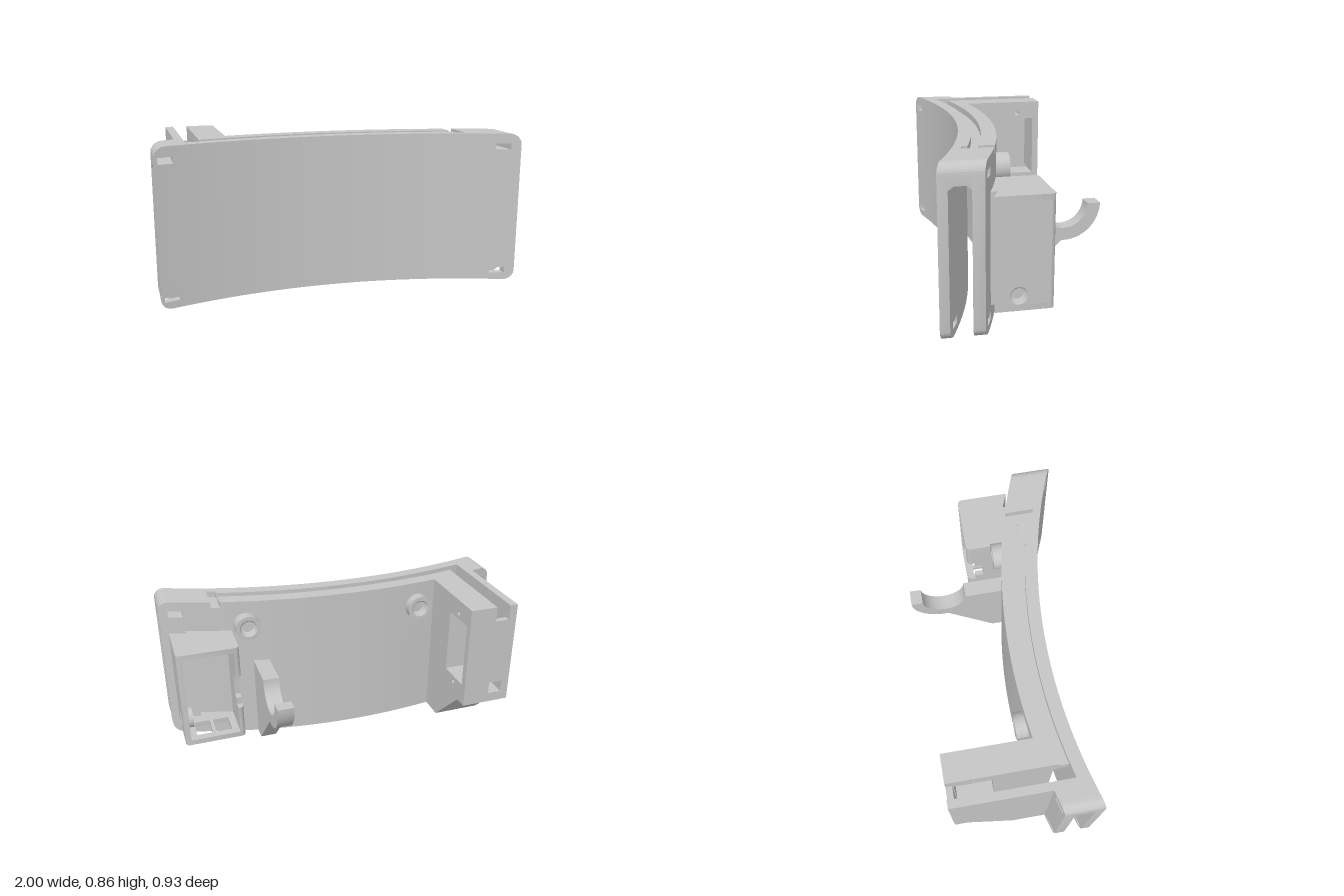
import * as THREE from 'three';
import { toCreasedNormals } from 'three/addons/utils/BufferGeometryUtils.js';

const H = 0.855;
const grey = new THREE.MeshStandardMaterial({ color: 0xc5c5c5 });
grey.name = 'grey plastic';

// z of the bowed plate, o = distance behind its front face
const arcZ = (x, o) => 3.093 - Math.sqrt((2.865 + o) ** 2 - (x + 0.14) ** 2);
// how far the rounded corners pull in at x
const corner = x => {
  const d = Math.max(0, Math.abs(x) - 0.94);
  return 0.06 - Math.sqrt(Math.max(0, 0.06 ** 2 - d ** 2));
};
// shared x stations, finer at the rounded ends
const stations = Array.from({ length: 38 }, (_, i) => -0.925 + i * 0.05);
for (const x of [0.94, 0.955, 0.965, 0.975, 0.985, 0.992, 0.997]) stations.push(x, -x);
stations.sort((a, b) => a - b);

// bowed slab between x0..x1 and depths o0..o1; the lower edge may slope from lo0 to lo1
function slab(x0, x1, o0, o1, lo0 = 0, hi = H, lo1 = lo0) {
  const xs = [x0, ...stations.filter(x => x > x0 + 0.001 && x < x1 - 0.001), x1], pos = [];
  const rings = xs.map(x => {
    const c = corner(x), top = Math.min(hi, H - c);
    return [[o0, Math.max(lo0, c)], [o1, Math.max(lo1, c)], [o1, top], [o0, top]]
      .map(([o, y]) => [x, y, arcZ(x, o)]);
  });
  const quad = (a, b, c, d) => [a, b, c, a, c, d].forEach(p => pos.push(...p));
  for (let i = 0; i < xs.length - 1; i++)
    for (let k = 0; k < 4; k++) {
      const m = (k + 1) % 4;
      quad(rings[i][k], rings[i][m], rings[i + 1][m], rings[i + 1][k]);
    }
  quad(...rings.at(-1));
  quad(...[...rings[0]].reverse());
  const g = new THREE.BufferGeometry();
  g.setAttribute('position', new THREE.Float32BufferAttribute(pos, 3));
  g.computeVertexNormals();
  return toCreasedNormals(g, 0.2);
}

// the two ends of a layer, with the strap holes left open
const HOLES = [[-0.98, -0.9], [0.87, 0.95]];
function ends(o0, o1, lo0 = 0, lo1 = lo0) {
  const parts = [slab(-1, -0.98, o0, o1, lo0, H, lo1), slab(0.95, 1, o0, o1, lo0, H, lo1)];
  for (const [a, b] of HOLES) {
    parts.push(slab(a, b, o0, o1, 0.8), slab(a, b, o0, o1, Math.max(lo0, 0.075), 0.765, Math.max(lo1, 0.075)));
    if (lo0 === 0) parts.push(slab(a, b, o0, o1, 0, 0.04));
  }
  return parts;
}

const rect = (a0, a1, b0, b1) => [[a0, b0], [a1, b0], [a1, b1], [a0, b1]];
const circle = (a, b, r) => Array.from({ length: 32 }, (_, i) =>
  [a + r * Math.cos(i * Math.PI / 16), b + r * Math.sin(i * Math.PI / 16)]);
const extrude = (pts, holes, depth) => {
  const shape = new THREE.Shape(pts.map(p => new THREE.Vector2(...p)));
  shape.holes = holes.map(h => new THREE.Path(h.map(p => new THREE.Vector2(...p))));
  return new THREE.ExtrudeGeometry(shape, { depth, bevelEnabled: false });
};
// outline in (z, y), extruded from x0 to x1
const sideCut = (x0, x1, pts, holes = []) => {
  const flip = l => l.map(([z, y]) => [-z, y]);
  return toCreasedNormals(extrude(flip(pts), holes.map(flip), x1 - x0)
    .rotateY(Math.PI / 2).translate(x0, 0, 0), 0.5);
};
// outline in (x, z), extruded from y0 to y1
const planCut = (y0, y1, pts, holes = []) =>
  toCreasedNormals(extrude(pts, holes, y1 - y0).rotateX(Math.PI / 2).translate(0, y1, 0), 0.9);

// threaded sleeve along +y with a closed floor
function sleeve(rOut, rIn, h, floor) {
  const p = [[rOut, 0], [rOut, h], [rIn, h]], n = 5;
  for (let i = 1; i <= n * 2; i++) p.push([rIn - (i % 2 ? 0.008 : 0), h - (h - floor) * i / (n * 2)]);
  p.push([0, floor]);
  return toCreasedNormals(new THREE.LatheGeometry(p.map(v => new THREE.Vector2(...v)), 32), 0.5);
}

export function createModel() {
  const model = new THREE.Group();
  const add = (name, ...geos) => {
    const group = new THREE.Group();
    group.name = name;
    for (const g of geos) {
      const m = new THREE.Mesh(g, grey);
      m.name = name;
      group.add(m);
    }
    model.add(group);
  };

  // bowed double plate, open below
  add('frontPlate', ...ends(0, 0.045), slab(-0.9, 0.87, 0, 0.045));
  add('backPlate', ...ends(0.145, 0.2), slab(-0.9, -0.83, 0.145, 0.2), slab(-0.75, 0.67, 0.145, 0.2),
    slab(0.67, 0.72, 0.145, 0.2, 0, 0.82), slab(0.72, 0.87, 0.145, 0.2));

  // roof between the plates, with a shallow groove along the top
  add('slotRoof',
    ...ends(0.045, 0.07, 0.73, 0.75), ...ends(0.07, 0.12, 0.75), ...ends(0.12, 0.145, 0.75, 0.73),
    slab(-0.9, 0.67, 0.045, 0.07, 0.73, H, 0.75),
    slab(0.67, 0.72, 0.045, 0.07, 0.73, 0.82, 0.75),
    slab(0.72, 0.87, 0.045, 0.07, 0.73, H, 0.75),
    slab(-0.9, -0.83, 0.07, 0.12, 0.75),
    slab(-0.75, 0.72, 0.07, 0.12, 0.75, 0.82),
    slab(0.72, 0.87, 0.07, 0.12, 0.75),
    slab(-0.9, -0.83, 0.12, 0.145, 0.75, H, 0.73),
    slab(-0.75, 0.67, 0.12, 0.145, 0.75, H, 0.73),
    slab(0.67, 0.72, 0.12, 0.145, 0.75, 0.82, 0.73),
    slab(0.72, 0.87, 0.12, 0.145, 0.75, H, 0.73));

  // tall housing with a hollow channel between two cheeks
  const cheek = z => [[z, 0], [-0.08, 0], [-0.34, 0.255], [-0.415, 0.255], [-0.415, H], [z, H]];
  add('housingInnerCheek', sideCut(-0.75, -0.595, cheek(0.1),
    [rect(-0.375, -0.17, 0.375, 0.745), circle(-0.27, 0.78, 0.013), circle(-0.27, 0.34, 0.013)]));
  add('housingOuterCheek', sideCut(-0.875, -0.83, cheek(0.135)));
  add('housingBack',
    sideCut(-0.83, -0.75, rect(-0.415, -0.38, 0.38, 0.77)),
    sideCut(-0.83, -0.75, [[-0.04, 0], [-0.08, 0], [-0.34, 0.255], [-0.415, 0.255],
      [-0.415, 0.31], [-0.38, 0.31], [-0.38, 0.285], [-0.33, 0.285]]));
  add('housingFloor', sideCut(-0.83, -0.75, rect(-0.38, 0.255, 0.28, 0.31)));

  // hooked cradle on a braced arm
  const arc = (r, a0, a1, n = 20) => Array.from({ length: n + 1 }, (_, i) => {
    const a = a0 + (a1 - a0) * i / n;
    return [-0.27 - r * Math.cos(a), 0.48 - r * Math.sin(a)];
  });
  add('cradleArm', sideCut(0.42, 0.51, [[0.115, 0], [0.02, 0], [-0.255, 0.28],
    ...arc(0.198, Math.PI / 2, 0), ...arc(0.13, 0, Math.PI), [0.115, 0.483]]));

  // open-backed box on the left end, notched where it meets the plate
  const t = 0.03;
  const plan = [[0.64, -0.095], [0.94, -0.095], [0.954, -0.089], [0.96, -0.075],
    [0.96, 0.2], [0.87, 0.165], [0.87, 0.215], [0.62, 0.14], [0.62, -0.075], [0.626, -0.089]];
  add('boxTop', planCut(0.68 - t, 0.68, plan));
  add('boxBottom', planCut(0.11, 0.11 + t, plan,
    [rect(0.69, 0.78, -0.05, 0.08), rect(0.8, 0.89, -0.05, 0.08)]));
  add('boxOuterWall',
    sideCut(0.96 - t, 0.96, rect(-0.075, 0.188, 0.14, 0.65), [circle(0.08, 0.185, 0.046)]),
    planCut(0.14, 0.65, [[0.96, 0.188], [0.96, 0.2], [0.87, 0.165], [0.87, 0.22], [0.84, 0.21], [0.84, 0.14]]));
  add('boxInnerWall', sideCut(0.62, 0.62 + t, [[0.15, 0.14], [0.15, 0.65], [-0.075, 0.65], [-0.075, 0.5],
    [-0.05, 0.5], [-0.05, 0.46], [0, 0.46], [0, 0.34], [-0.05, 0.34], [-0.05, 0.3], [-0.075, 0.3], [-0.075, 0.14]]));
  const post = [[0.93, -0.095], [0.94, -0.095], [0.954, -0.089], [0.96, -0.075], [0.93, -0.075]];
  const mirrored = post.map(([x, z]) => [1.58 - x, z]);
  add('boxCornerPosts', planCut(0.14, 0.65, post), planCut(0.14, 0.3, mirrored), planCut(0.5, 0.65, mirrored));
  add('boxScrewSleeve', sleeve(0.06, 0.045, 0.06, 0.004)
    .rotateZ(-Math.PI / 2).translate(0.895, 0.185, 0.08));

  // threaded bosses on the back
  for (const [x, z, h] of [[-0.48, 0.065, 0.075], [0.535, 0.13, 0.085]])
    add('threadedBoss', sleeve(0.073, 0.05, h, 0.015).rotateX(-Math.PI / 2).translate(x, 0.712, z));

  return model;
}
